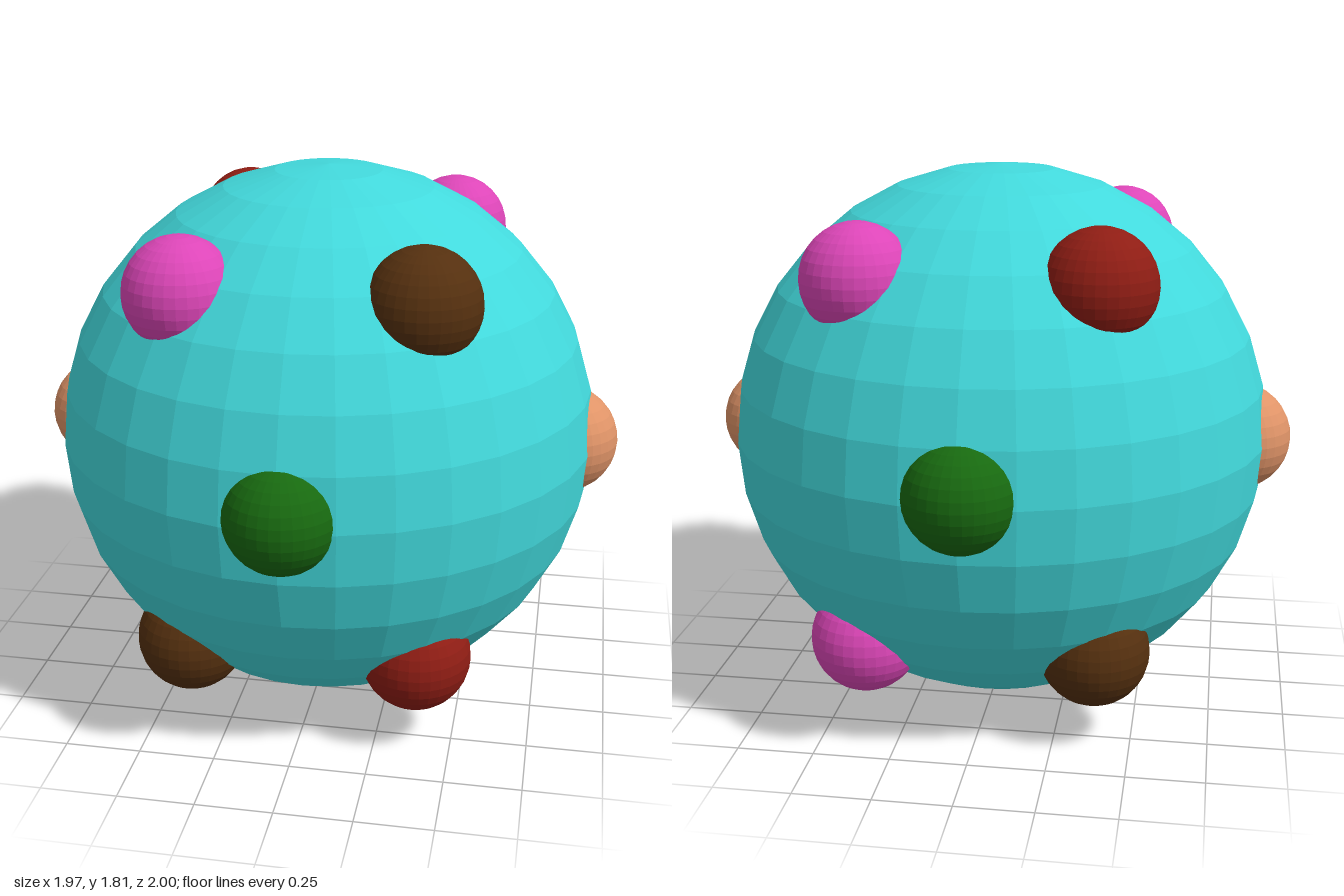
import * as THREE from 'three';

const CENTRE_Y = 0.905;
const PINK = 0xdd46b8, BROWN = 0x55300f, RED = 0x8f1d14, GREEN = 0x186a10, PEACH = 0xe09468;

export function createModel() {
  const model = new THREE.Group();
  model.name = 'studdedBall';

  const addBall = (name, radius, color, x, y, z) => {
    const mesh = new THREE.Mesh(
      new THREE.SphereGeometry(radius, 32, 16),
      new THREE.MeshStandardMaterial({ color, flatShading: true })
    );
    mesh.name = name;
    mesh.position.set(x, CENTRE_Y + y, z);
    model.add(mesh);
  };

  // Large faceted body
  addBall('body', 0.905, 0x42d9dc, 0, 0, 0);

  // Studs around the equator
  for (const s of [1, -1]) {
    addBall(s > 0 ? 'frontStud' : 'backStud', 0.181, GREEN, 0, 0.02, s * 0.819);
    addBall(s > 0 ? 'leftStud' : 'rightStud', 0.181, PEACH, s * 0.806, 0, 0);
  }

  // Studs towards the eight corners: x sign, z sign, upper colour, lower colour
  const corners = [
    [1, 1, BROWN, RED],
    [-1, 1, PINK, BROWN],
    [-1, -1, RED, BROWN],
    [1, -1, PINK, PINK],
  ];
  for (const [sx, sz, upper, lower] of corners) {
    const place = (sz > 0 ? 'Front' : 'Back') + (sx > 0 ? 'Left' : 'Right') + 'Stud';
    addBall('upper' + place, 0.181, upper, sx * 0.375, 0.594, sz * 0.5);
    addBall('lower' + place, 0.181, lower, sx * 0.375, -0.594, sz * 0.5);
  }

  return model;
}
